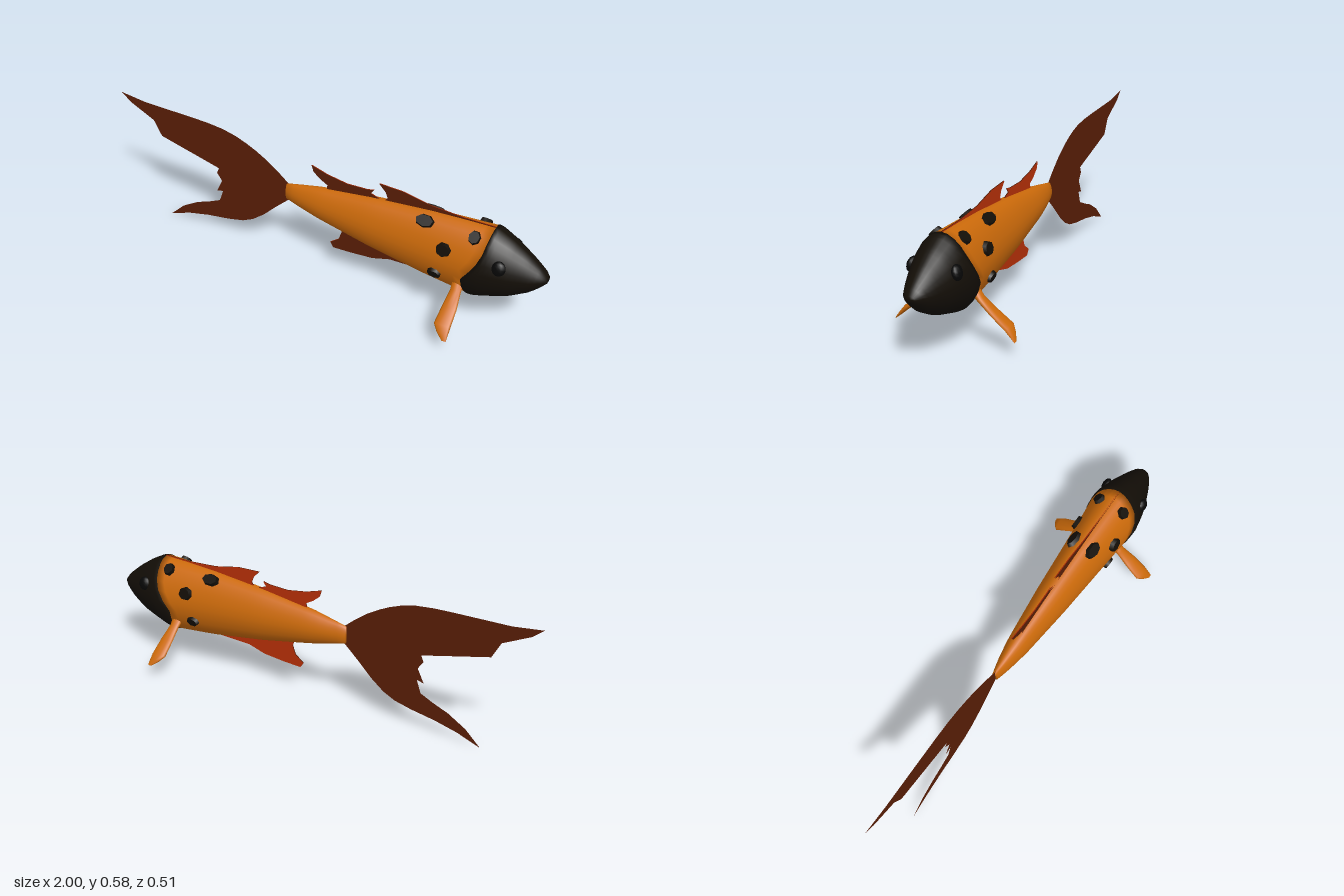
import * as THREE from 'three';

const ORANGE = 0xcc6a0a, BLACK = 0x130e07, EYE = 0x070707, FIN = 0x5a1e06, FIN_BACK = 0xb83008;

// Piecewise-linear lookup in a list of [key, value] pairs
function lookup(table, k) {
  if (k <= table[0][0]) return table[0][1];
  for (let i = 1; i < table.length; i++) {
    const [k0, v0] = table[i - 1], [k1, v1] = table[i];
    if (k <= k1) return v0 + (v1 - v0) * (k - k0) / (k1 - k0);
  }
  return table[table.length - 1][1];
}

// Body outline along x: back line, belly line, half width
const TOP = [[-0.16, 0.378], [0, 0.412], [0.25, 0.447], [0.5, 0.472], [0.65, 0.481], [0.78, 0.486],
  [0.85, 0.45], [0.92, 0.404], [0.98, 0.357], [1, 0.332]];
const BELLY = [[-0.16, 0.3], [0, 0.26], [0.25, 0.21], [0.5, 0.172], [0.62, 0.16], [0.71, 0.152],
  [0.86, 0.202], [0.94, 0.248], [0.985, 0.29], [1, 0.308]];
const WIDTH = [[-0.16, 0.014], [-0.1, 0.03], [0, 0.048], [0.25, 0.074], [0.5, 0.094], [0.65, 0.107],
  [0.75, 0.117], [0.8, 0.109], [0.86, 0.092], [0.94, 0.06], [0.985, 0.036], [1, 0.02]];
// x of the head/body seam by relative height (-1 belly, 1 back)
const SEAM = [[-1, 0.7], [-0.3, 0.68], [0.38, 0.755], [1, 0.772]];

function section(x) {
  const t = lookup(TOP, x), b = lookup(BELLY, x);
  return { mid: (t + b) / 2, h: (t - b) / 2, w: lookup(WIDTH, x) };
}

// Point on the egg-shaped body section; angle 0 is the back, PI/2 the +z side
function skin(x, a, grow = 1) {
  const { mid, h, w } = section(x), c = Math.cos(a);
  const narrow = 1 - 0.15 * Math.max(0, c);
  return [x, mid + h * grow * c, w * grow * narrow * Math.sin(a)];
}

// Closed loft through rings of equal length, with end caps
function loft(rings) {
  const n = rings[0].length, pos = rings.flat(2), idx = [];
  for (let r = 0; r < rings.length - 1; r++) {
    for (let i = 0; i < n; i++) {
      const a = r * n + i, b = r * n + (i + 1) % n;
      idx.push(a, a + n, b, b, a + n, b + n);
    }
  }
  [0, rings.length - 1].forEach((r, end) => {
    const c = pos.length / 3;
    for (let k = 0; k < 3; k++) pos.push(rings[r].reduce((s, p) => s + p[k], 0) / n);
    for (let i = 0; i < n; i++) {
      const a = r * n + i, b = r * n + (i + 1) % n;
      idx.push(c, ...(end ? [b, a] : [a, b]));
    }
  });
  const g = new THREE.BufferGeometry();
  g.setAttribute('position', new THREE.Float32BufferAttribute(pos, 3));
  g.setIndex(idx);
  g.computeVertexNormals();
  return g;
}

function add(parent, name, geometry, color, side = THREE.FrontSide) {
  const mesh = new THREE.Mesh(geometry, new THREE.MeshStandardMaterial({ color, side }));
  mesh.name = name;
  parent.add(mesh);
  return mesh;
}

// Body or head: rings slide between a start x and an end x that may vary with the angle
function hull(startX, endX, steps, grow) {
  const n = 24;
  return loft(Array.from({ length: steps + 1 }, (_, s) =>
    Array.from({ length: n }, (_, i) => {
      const a = -i / n * Math.PI * 2, c = Math.cos(a);
      return skin(THREE.MathUtils.lerp(startX(c), endX(c), s / steps), a, grow);
    })));
}

const sheet = points => new THREE.ShapeGeometry(new THREE.Shape(points.map(p => new THREE.Vector2(...p))));

// Thin fin in the middle plane: two sheets, a redder one on the -z side
function middleFin(parent, name, points) {
  const fin = new THREE.Group(), g = sheet(points);
  fin.name = name;
  add(fin, name + 'NearFace', g, FIN, THREE.DoubleSide).position.z = 0.002;
  add(fin, name + 'FarFace', g, FIN_BACK, THREE.DoubleSide).position.z = -0.002;
  parent.add(fin);
}

// Raised part lying on the skin at x and height y, its geometry facing +z
function bump(parent, name, geometry, [x, y, rx, ry, rn], color, side) {
  const { mid, h, w } = section(x);
  const a = side * Math.acos(THREE.MathUtils.clamp((y - mid) / h, -1, 1));
  const mesh = add(parent, name, geometry, color);
  mesh.position.set(...skin(x, a));
  const normal = new THREE.Vector3(0, Math.cos(a) / h, Math.sin(a) / w).normalize();
  mesh.quaternion.setFromUnitVectors(new THREE.Vector3(0, 0, 1), normal);
  mesh.scale.set(rx, ry, rn);
}

export function createModel() {
  const fish = new THREE.Group();
  fish.name = 'fish';
  const seam = c => lookup(SEAM, c);

  // Body and head
  add(fish, 'body', hull(() => -0.16, seam, 24, 1), ORANGE);
  add(fish, 'head', hull(seam, () => 1, 14, 1.02), BLACK);

  // Forked tail
  add(fish, 'tailFin', sheet([[-0.15, 0.378], [-0.2, 0.42], [-0.26, 0.464], [-0.31, 0.493], [-0.355, 0.515],
    [-0.41, 0.536], [-0.473, 0.551], [-0.55, 0.559], [-0.634, 0.562], [-0.874, 0.567], [-1, 0.583],
    [-0.955, 0.545], [-0.837, 0.487], [-0.8, 0.417], [-0.505, 0.342], [-0.516, 0.315], [-0.492, 0.28],
    [-0.521, 0.22], [-0.49, 0.227], [-0.51, 0.171], [-0.57, 0.143], [-0.634, 0.118], [-0.714, 0.07],
    [-0.783, 0.004], [-0.68, 0.042], [-0.58, 0.066], [-0.47, 0.084], [-0.393, 0.102], [-0.34, 0.128],
    [-0.28, 0.175], [-0.22, 0.235], [-0.15, 0.3]]), FIN, THREE.DoubleSide);

  // Back fins and belly fin
  middleFin(fish, 'rearDorsalFin', [[0.03, 0.4], [0.035, 0.435], [0, 0.455], [-0.03, 0.48], [-0.04, 0.51],
    [0.035, 0.487], [0.126, 0.472], [0.22, 0.476], [0.25, 0.484], [0.235, 0.462], [0.3, 0.44]]);
  middleFin(fish, 'frontDorsalFin', [[0.29, 0.44], [0.31, 0.465], [0.3, 0.49], [0.27, 0.522], [0.38, 0.518],
    [0.5, 0.494], [0.64, 0.486], [0.77, 0.489], [0.77, 0.46]]);
  middleFin(fish, 'analFin', [[0.09, 0.26], [0.104, 0.22], [0.09, 0.18], [0.05, 0.15], [0.065, 0.126],
    [0.15, 0.13], [0.25, 0.139], [0.33, 0.163], [0.48, 0.168], [0.48, 0.2]]);

  // Paired parts
  const spotShape = new THREE.CylinderGeometry(0.78, 1, 2, 7).rotateX(Math.PI / 2);
  const eyeShape = new THREE.SphereGeometry(1, 12, 8);
  const spots = [[0.495, 0.447, 0.047, 0.03, 0.013], [0.71, 0.452, 0.029, 0.032, 0.013],
    [0.6, 0.375, 0.036, 0.033, 0.014], [0.568, 0.25, 0.034, 0.026, 0.012]];
  // Side fin stations: z, y, rear x, front x, thickness
  const finPath = [[0.07, 0.235, 0.64, 0.69, 0.04], [0.1, 0.202, 0.645, 0.69, 0.026],
    [0.155, 0.157, 0.638, 0.7, 0.02], [0.215, 0.11, 0.633, 0.703, 0.022],
    [0.235, 0.088, 0.655, 0.703, 0.015], [0.252, 0.068, 0.685, 0.703, 0.005]];
  for (const [side, label] of [[1, 'right'], [-1, 'left']]) {
    spots.forEach((spot, i) => bump(fish, `${label}Spot${i + 1}`, spotShape, spot, BLACK, side));
    bump(fish, label + 'Eye', eyeShape, [0.828, 0.37, 0.029, 0.031, 0.018], EYE, side);

    // Ring direction follows the side so the faces look outward
    const rings = finPath.map(([z, y, x0, x1, t]) => Array.from({ length: 10 }, (_, i) => {
      const a = -side * i / 10 * Math.PI * 2, off = Math.sin(a) * t / 2;
      return [(x0 + x1) / 2 + Math.cos(a) * (x1 - x0) / 2, y + off * 0.75, side * (z + off * 0.66)];
    }));
    add(fish, label + 'PectoralFin', loft(rings), ORANGE);
  }
  return fish;
}
